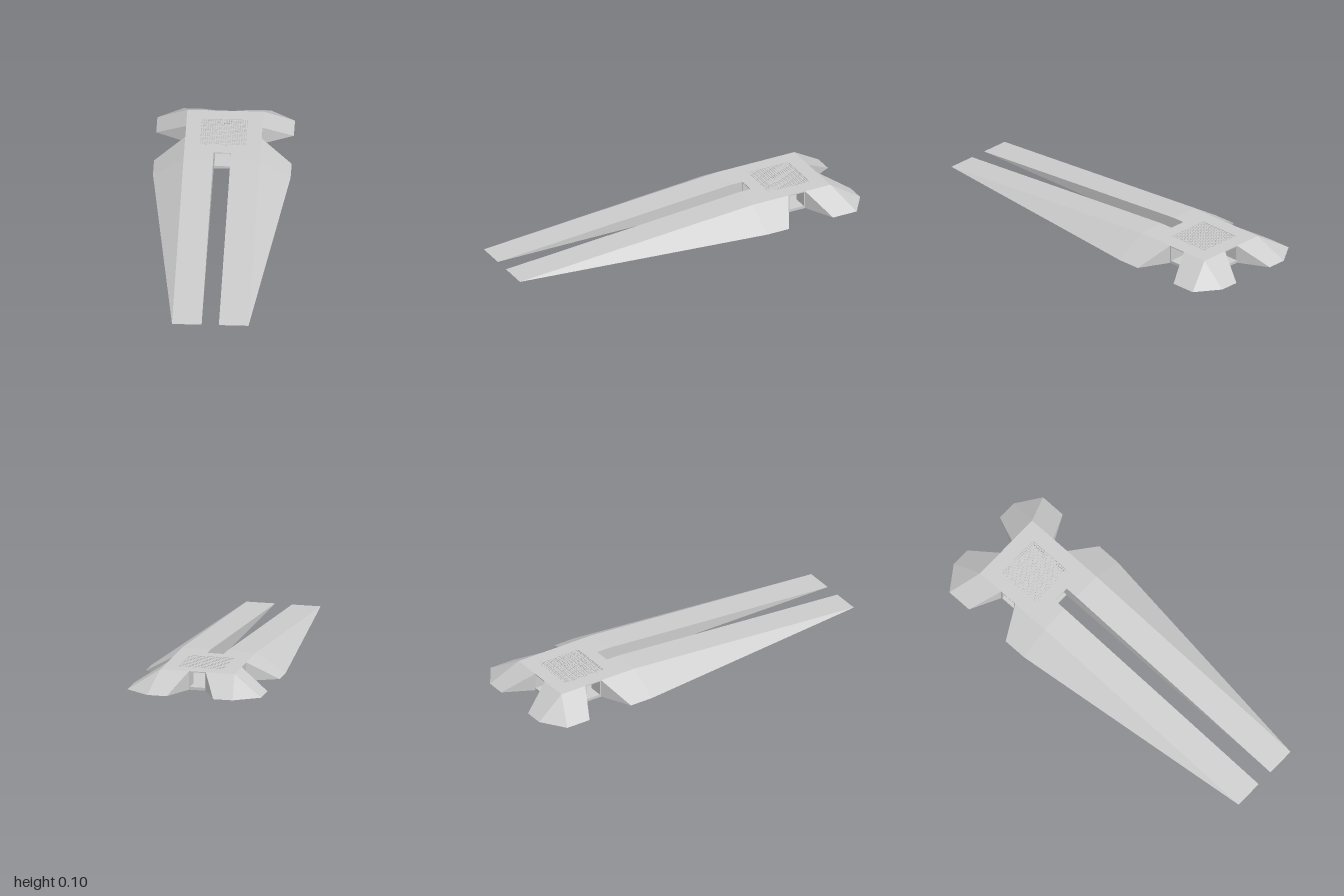
import * as THREE from 'three';
import { ConvexGeometry } from 'three/addons/geometries/ConvexGeometry.js';

const material = new THREE.MeshStandardMaterial({ color: 0xcccccc, flatShading: true });

// Main dimensions
const HUB_X = 0.2, HUB_BACK = -0.84, HUB_FRONT = -0.45, TOP = 0.1;
const MID_Z = -0.64, WELL = 0.12, TUNNEL = 0.042;
const FLOOR = 0.015, CEILING = 0.095;

function add(parent, name, geometry) {
  const mesh = new THREE.Mesh(geometry, material);
  mesh.name = name;
  parent.add(mesh);
  return mesh;
}

// Outline of [x, z] points, with z turned into the shape's -y
const outline = (pts) => pts.map(([x, z]) => new THREE.Vector2(x, -z));
const rect = (x0, x1, z0, z1) => outline([[x0, z0], [x0, z1], [x1, z1], [x1, z0]]);

// Extrudes a plan outline upwards between two heights
function slab(points, y0, y1, hole) {
  const shape = new THREE.Shape(points);
  if (hole) shape.holes.push(new THREE.Path(hole));
  const geo = new THREE.ExtrudeGeometry(shape, { depth: y1 - y0, bevelEnabled: false });
  return geo.rotateX(-Math.PI / 2).translate(0, y0, 0);
}

function hull(points, side) {
  return new ConvexGeometry(points.map(([x, y, z]) => new THREE.Vector3(x * side, y, z)));
}

export function createModel() {
  const model = new THREE.Group();
  model.name = 'wedge';

  // Hub: floor plate, top frame around the well, corner posts between the tunnels
  const hub = new THREE.Group();
  hub.name = 'hub';
  model.add(hub);
  const plan = rect(-HUB_X, HUB_X, HUB_BACK, HUB_FRONT);
  add(hub, 'floor', slab(plan, 0, FLOOR));
  add(hub, 'topFrame', slab(plan, CEILING, TOP,
    rect(-WELL, WELL, MID_Z - WELL, MID_Z + WELL)));
  for (const side of [1, -1]) {
    for (const [end, dir] of [[HUB_FRONT, 1], [HUB_BACK, -1]]) {
      const post = outline([
        [TUNNEL, end], [HUB_X, end],
        [HUB_X, MID_Z + dir * TUNNEL], [WELL, MID_Z + dir * TUNNEL],
        [WELL, MID_Z + dir * WELL], [TUNNEL, MID_Z + dir * WELL],
      ].map(([x, z]) => [x * side, z]));
      add(hub, 'cornerPost', slab(post, FLOOR, CEILING));
    }
  }

  for (const side of [1, -1]) {
    // Long front leg tapering to a thin tip, with a sloped outer flank
    add(model, side > 0 ? 'leftLeg' : 'rightLeg', hull([
      [0.045, 0, -0.45], [0.045, TOP, -0.45], [0.045, TOP, -0.38],
      [0.2, TOP, -0.59], [0.2, 0, -0.59], [0.2, TOP, -0.38],
      [0.36, 0, -0.51], [0.36, 0, -0.38], [0.2, 0, 1], [0.045, 0, 1],
    ], side));
    // Short rear foot with chamfered corner
    add(model, side > 0 ? 'leftRearFoot' : 'rightRearFoot', hull([
      [0.045, 0, -0.84], [0.045, TOP, -0.84], [0.2, TOP, -0.84],
      [0.2, TOP, -0.69], [0.2, 0, -0.69],
      [0.36, 0, -0.77], [0.36, 0, -0.91], [0.23, 0, -1], [0.125, 0, -1],
    ], side));
  }

  // Grate of thin crossing bars over the well
  const grate = new THREE.Group();
  grate.name = 'grate';
  model.add(grate);
  const bars = 20, pitch = 2 * WELL / bars;
  for (let i = 0; i < bars; i++) {
    const offset = -WELL + (i + 0.5) * pitch;
    add(grate, 'lengthwiseBar', new THREE.BoxGeometry(0.006, 0.003, 2 * WELL))
      .position.set(offset, 0.0965, MID_Z);
    add(grate, 'crossBar', new THREE.BoxGeometry(2 * WELL, 0.003, 0.006))
      .position.set(0, 0.0968, MID_Z + offset);
  }
  return model;
}
